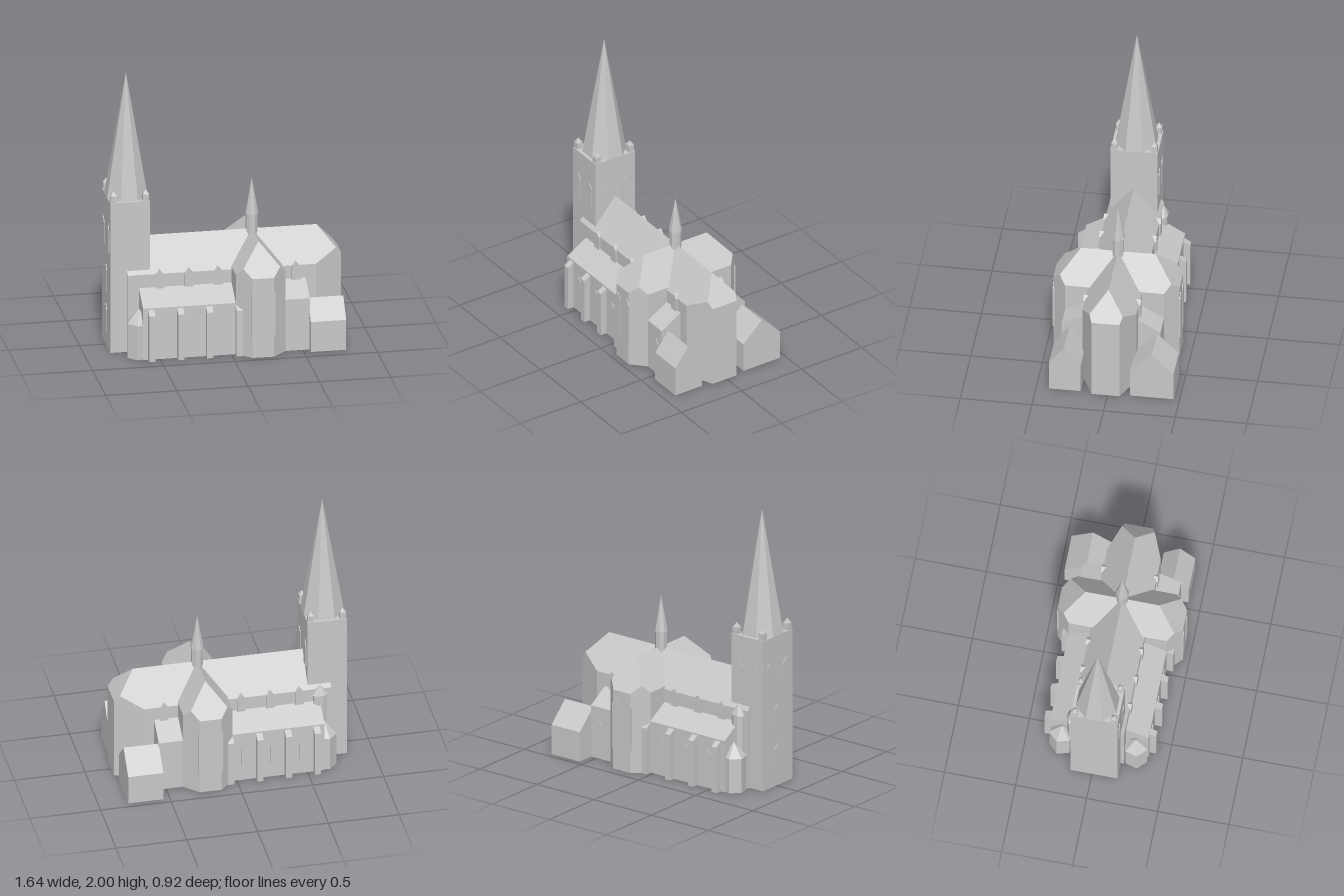
import * as THREE from 'three';
import { ConvexGeometry } from 'three/addons/geometries/ConvexGeometry.js';

export function createModel() {
  const stone = new THREE.MeshStandardMaterial({ color: 0xc8c8c8 });
  stone.name = 'stone';
  const model = new THREE.Group();
  model.name = 'church';
  const body = new THREE.Group(); // local z = 0 is the ridge line
  body.name = 'churchBody';
  body.position.z = 0.015;
  model.add(body);

  function add(name, geometry, x = 0, y = 0, z = 0, turn = 0) {
    const mesh = new THREE.Mesh(geometry, stone);
    mesh.name = name;
    mesh.position.set(x, y, z);
    mesh.rotation.y = turn;
    body.add(mesh);
    return mesh;
  }
  const hull = (name, points) =>
    add(name, new ConvexGeometry(points.map((p) => new THREE.Vector3(...p))));

  // Cross-section given as [z, y] points, run along x
  const prism = (name, x0, x1, section) =>
    hull(name, section.flatMap(([z, y]) => [[x0, y, z], [x1, y, z]]));

  // Faceted cylinder or cone standing on y0
  function faceted(r0, r1, y0, y1, sides, turn) {
    const geometry = new THREE.CylinderGeometry(r1, r0, y1 - y0, sides, 1).toNonIndexed();
    geometry.rotateY(turn);
    geometry.translate(0, (y0 + y1) / 2, 0);
    geometry.computeVertexNormals();
    return geometry;
  }

  // Block with a pointed head, facing local +z
  function pointedBlock(name, w, y0, shoulder, tip, depth, x, z, turn) {
    const shape = new THREE.Shape([
      [-w / 2, y0], [w / 2, y0], [w / 2, shoulder], [0, tip], [-w / 2, shoulder],
    ].map((p) => new THREE.Vector2(...p)));
    const geometry = new THREE.ExtrudeGeometry(shape, { depth, bevelEnabled: false });
    return add(name, geometry, x, 0, z, turn);
  }

  // Nave and choir with a hipped polygonal east end
  const navePoints = [[-0.7, 0.79, 0], [0.66, 0.79, 0]];
  for (const s of [1, -1]) {
    navePoints.push(
      [-0.7, 0, s * 0.188], [-0.7, 0.568, s * 0.188],
      [0.62, 0, s * 0.188], [0.62, 0.568, s * 0.188],
      [0.815, 0, s * 0.098], [0.815, 0.608, s * 0.098],
      [0.776, 0.653, s * 0.116],
    );
  }
  hull('nave', navePoints);

  // Transept, hipped and chamfered at both ends
  const transeptPoints = [];
  for (const s of [1, -1]) {
    transeptPoints.push([0.205, 0.79, s * 0.26]);
    for (const t of [1, -1]) {
      transeptPoints.push(
        [0.205 + t * 0.175, 0, s * 0.345], [0.205 + t * 0.175, 0.585, s * 0.345],
        [0.205 + t * 0.076, 0, s * 0.44], [0.205 + t * 0.076, 0.58, s * 0.44],
        [0.205 + t * 0.129, 0.639, s * 0.389],
      );
    }
  }
  hull('transept', transeptPoints);

  // Aisles, buttresses and windows on both sides
  for (const s of [1, -1]) {
    const turn = s > 0 ? 0 : Math.PI;
    prism('aisle', -0.62, 0.55, [
      [0, 0], [s * 0.345, 0], [s * 0.345, 0.377], [s * 0.18, 0.477], [0, 0.477],
    ]);
    for (const x of [-0.563, -0.36, -0.157, 0.05]) {
      prism('buttress', x - 0.022, x + 0.022, [
        [s * 0.33, 0], [s * 0.392, 0], [s * 0.392, 0.335], [s * 0.345, 0.365], [s * 0.33, 0.365],
      ]);
    }
    for (const x of [-0.475, -0.27, -0.065, 0.48]) {
      pointedBlock('clerestoryDormer', 0.06, 0.465, 0.565, 0.595, 0.06, x, s * 0.14, turn);
      pointedBlock('aisleWindow', 0.062, 0.12, 0.25, 0.29, 0.008, x, s * 0.342, turn);
    }
    for (const x of [0.152, 0.258]) {
      pointedBlock('transeptWindow', 0.062, 0.16, 0.485, 0.525, 0.03, x, s * 0.415, turn);
    }

    // Low stair turret at the west end of the aisle
    const spin = s * THREE.MathUtils.degToRad(15);
    add('aisleTurret', faceted(0.086, 0.086, 0, 0.25, 6, spin + Math.PI / 6), -0.635, 0, s * 0.26);
    add('aisleTurretRoof', faceted(0.089, 0, 0.25, 0.35, 6, spin + Math.PI / 6), -0.635, 0, s * 0.26);
  }

  // Gabled annexes beside the choir
  for (const [inner, ridge, outer, eave, top] of [
    [0.175, 0.29, 0.397, 0.22, 0.362],
    [-0.17, -0.322, -0.473, 0.215, 0.362],
  ]) {
    prism('annex', 0.547, 0.795, [
      [inner, 0], [outer, 0], [outer, eave], [ridge, top], [inner, eave],
    ]);
  }

  // West tower
  const tx = -0.678, hx = 0.138, hz = 0.165;
  add('tower', new THREE.BoxGeometry(hx * 2, 1.1, hz * 2), tx, 0.55, 0);
  add('towerSpire', faceted(0.154, 0, 1.1, 2, 8, Math.PI / 8), tx, 0, 0);
  for (const s of [1, -1]) {
    for (const t of [1, -1]) {
      // Corner pinnacles
      const px = tx + t * 0.113, pz = s * 0.138;
      add('pinnacle', new THREE.BoxGeometry(0.042, 0.05, 0.042), px, 1.125, pz);
      add('pinnacleRoof', faceted(0.031, 0, 1.145, 1.18, 4, Math.PI / 4), px, 0, pz);
      // Belfry windows
      pointedBlock('belfryWindow', 0.06, 0.72, 0.88, 0.92, 0.008,
        tx + t * 0.067, s * (hz - 0.003), s > 0 ? 0 : Math.PI);
      pointedBlock('belfryWindow', 0.06, 0.72, 0.88, 0.92, 0.008,
        tx + s * (hx - 0.003), t * 0.09, s * Math.PI / 2);
    }
  }
  for (const y of [0.1, 0.39]) {
    pointedBlock('towerWestWindow', 0.07, y, y + 0.17, y + 0.21, 0.008,
      tx - hx + 0.003, 0, -Math.PI / 2);
  }

  // Slim stair turret between the tower and the north aisle
  add('stairTurret', faceted(0.05, 0.05, 0, 0.53, 8, Math.PI / 8), -0.62, 0, -0.195).scale.z = 0.6;
  add('stairTurretRoof', faceted(0.06, 0, 0.53, 0.61, 8, Math.PI / 8), -0.62, 0, -0.195).scale.z = 0.6;

  // Crossing turret
  add('crossingTurret', faceted(0.042, 0.042, 0.7, 0.91, 8, Math.PI / 8), 0.205, 0, 0);
  add('crossingSpire', faceted(0.047, 0, 0.905, 1.165, 8, Math.PI / 8), 0.205, 0, 0);

  return model;
}
